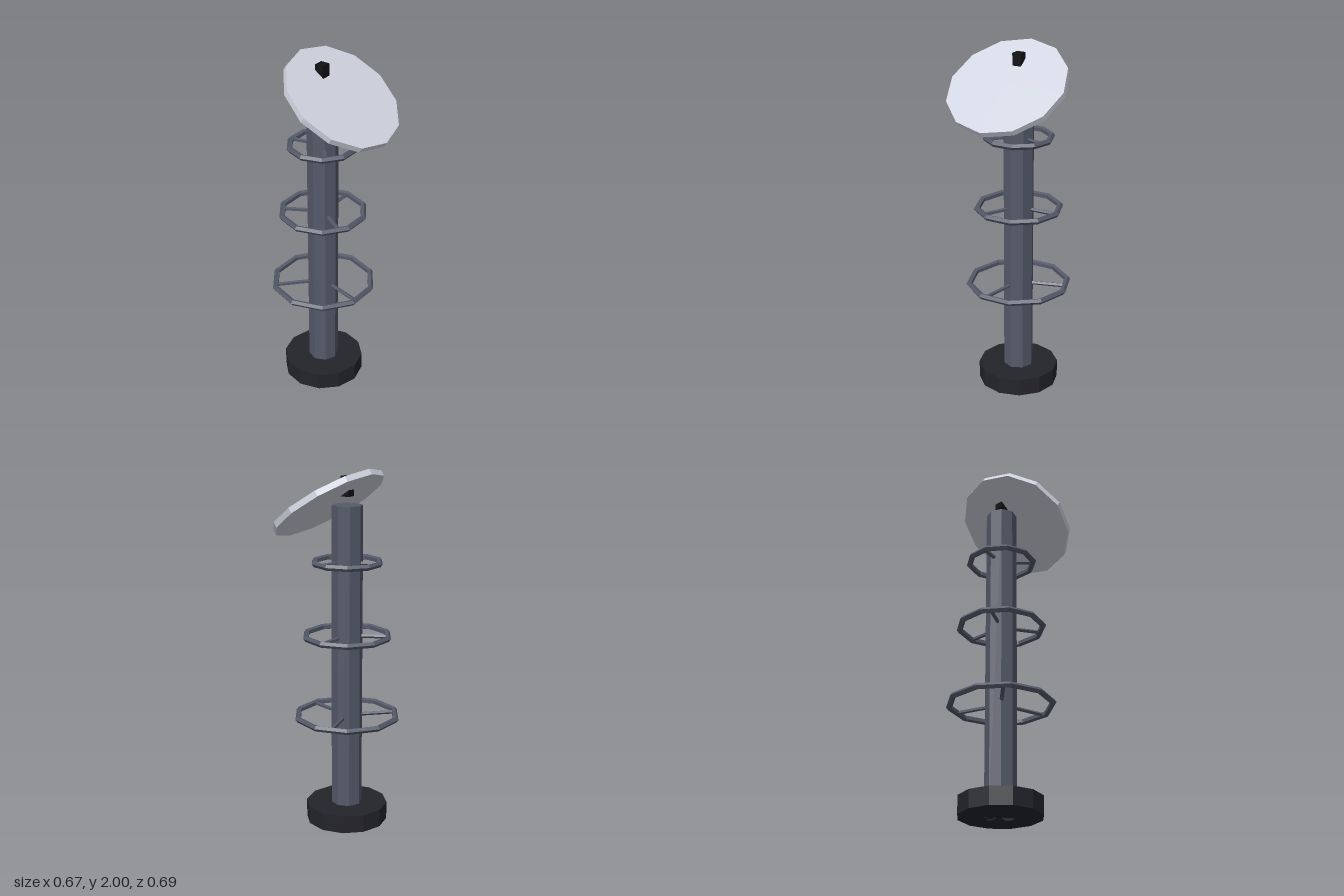
import * as THREE from 'three';

const mat = (color) => new THREE.MeshStandardMaterial({ color, flatShading: true });

export function createModel() {
  const model = new THREE.Group();
  const steel = mat(0x555a6a), dark = mat(0x23242b), pale = mat(0xd0d4e0), black = mat(0x121215);

  const add = (parent, name, geometry, material, x = 0, y = 0, z = 0) => {
    const mesh = new THREE.Mesh(geometry, material);
    mesh.name = name;
    mesh.position.set(x, y, z);
    parent.add(mesh);
    return mesh;
  };

  // Everything upright shares one axis, set slightly back
  const tower = new THREE.Group();
  tower.name = 'tower';
  tower.position.z = -0.0625;
  model.add(tower);

  add(tower, 'base', new THREE.CylinderGeometry(0.229, 0.229, 0.1, 12), dark, 0, 0.05);
  add(tower, 'post', new THREE.CylinderGeometry(0.086, 0.086, 1.8, 8), steel, 0, 0.9);
  add(tower, 'receiver', new THREE.BoxGeometry(0.052, 0.108, 0.052), black, 0, 1.9);

  // Three rings shrinking upwards, each on three spokes turned a little from the last
  const rings = [[0.62, 0.283, 0.3], [1.08, 0.234, 0], [1.49, 0.183, -0.3]];
  for (const [y, radius, turn] of rings) {
    const ring = new THREE.Group();
    ring.name = 'ringAssembly';
    ring.position.y = y;
    tower.add(ring);

    const hoop = new THREE.TorusGeometry(radius, 0.017, 5, 10).rotateX(Math.PI / 2);
    add(ring, 'ring', hoop, steel);

    const inner = 0.06, length = radius * 0.97 - inner;
    for (let i = 0; i < 3; i++) {
      const spoke = new THREE.CylinderGeometry(0.011, 0.011, length, 5)
        .rotateZ(Math.PI / 2)
        .translate(inner + length / 2, 0, 0);
      add(ring, 'spoke', spoke, steel).rotation.y = turn + (i * Math.PI * 2) / 3;
    }
  }

  // Tilted disc leaning toward the front
  const dish = new THREE.CylinderGeometry(0.333, 0.333, 0.033, 12);
  add(model, 'dish', dish, pale, 0, 1.798, 0.063).rotation.x = 0.6;

  return model;
}
